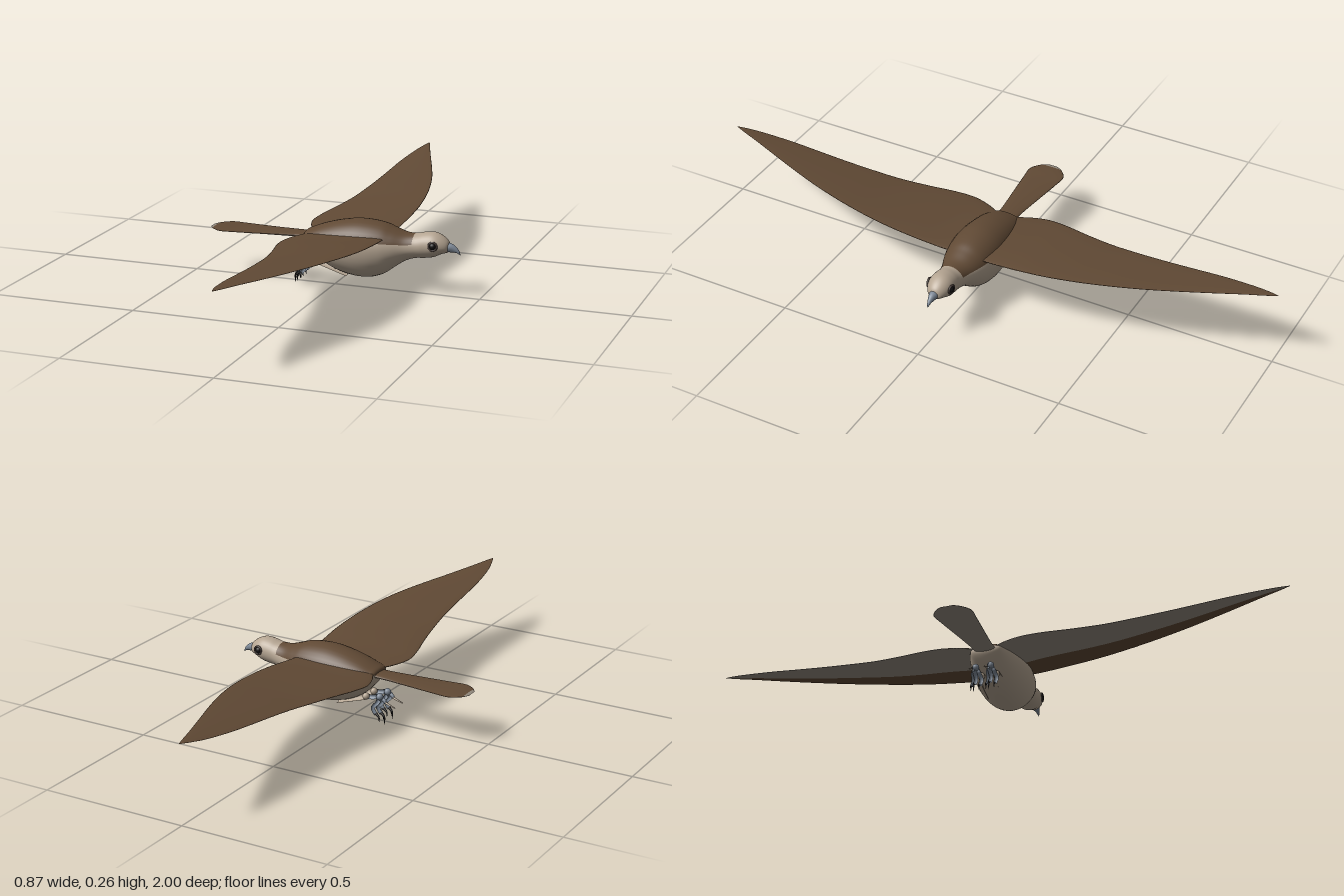
import * as THREE from 'three';

const V = (x, y, z) => new THREE.Vector3(x, y, z);
const mat = (name, color, side = THREE.FrontSide) => {
  const m = new THREE.MeshStandardMaterial({ color, side });
  m.name = name;
  return m;
};

// Closed tube-like surface: point(t, angle) swept along t, one material index per face
function skin(nu, nv, point, pick = () => 0, flip = false) {
  const pos = [], lists = [];
  for (let i = 0; i <= nu; i++)
    for (let j = 0; j < nv; j++) pos.push(...point(i / nu, (j / nv) * Math.PI * 2));
  for (let i = 0; i < nu; i++)
    for (let j = 0; j < nv; j++) {
      const k = (j + 1) % nv;
      const a = i * nv + j, b = a + nv, c = (i + 1) * nv + k, d = i * nv + k;
      const m = pick((i + 0.5) / nu, ((j + 0.5) / nv) * Math.PI * 2);
      (lists[m] ||= []).push(...(flip ? [a, c, b, a, d, c] : [a, b, c, a, c, d]));
    }
  const g = new THREE.BufferGeometry();
  g.setAttribute('position', new THREE.Float32BufferAttribute(pos, 3));
  let start = 0;
  lists.forEach((l, m) => { g.addGroup(start, l.length, m); start += l.length; });
  g.setIndex(lists.flat());
  g.computeVertexNormals();
  return g;
}

// Smooth interpolation through rows of numbers
function table(rows) {
  return t => {
    const f = Math.min(t, 0.99999) * (rows.length - 1), i = Math.floor(f), u = f - i;
    const at = k => rows[Math.max(0, Math.min(rows.length - 1, k))];
    return rows[0].map((_, c) => {
      const p0 = at(i - 1)[c], p1 = at(i)[c], p2 = at(i + 1)[c], p3 = at(i + 2)[c];
      return p1 + 0.5 * u * (p2 - p0 + u * (2 * p0 - 5 * p1 + 4 * p2 - p3 + u * (3 * (p1 - p2) + p3 - p0)));
    });
  };
}

// Round section with separate top and bottom heights: rows are x, top, middle, bottom, half width
const bodySection = f => (t, a) => {
  const [x, top, mid, bot, w] = f(t), s = Math.sin(a);
  return [x, mid + s * (s > 0 ? top - mid : mid - bot), Math.cos(a) * w];
};

// Tapered tube along a curve
function limb(points, r0, r1, n = 10) {
  const curve = new THREE.CatmullRomCurve3(points);
  const frames = curve.computeFrenetFrames(n);
  return skin(n, 10, (t, a) => {
    const i = Math.round(t * n), r = r0 + (r1 - r0) * t;
    return curve.getPointAt(t)
      .addScaledVector(frames.normals[i], Math.cos(a) * r)
      .addScaledVector(frames.binormals[i], Math.sin(a) * r).toArray();
  });
}

export function createModel() {
  const bird = new THREE.Group();
  bird.name = 'bird';
  const brown = mat('brownFeathers', 0x614a35);
  const cream = mat('creamFeathers', 0xb5a592);
  const pale = mat('paleUnderside', 0x958c80);
  const horn = mat('greyHorn', 0x7f8a98);
  const black = mat('black', 0x141212);
  const ring = mat('eyeRing', 0x453a36);
  const add = (name, geo, m, parent = bird) => {
    const mesh = new THREE.Mesh(geo, m);
    mesh.name = name;
    parent.add(mesh);
    return mesh;
  };

  // Body and head, with a brown back
  const body = table([
    [-0.1, 0.168, 0.166, 0.164, 0.002], [-0.095, 0.182, 0.166, 0.148, 0.045],
    [-0.075, 0.192, 0.162, 0.12, 0.06], [-0.035, 0.208, 0.157, 0.082, 0.074],
    [0.02, 0.224, 0.15, 0.055, 0.085], [0.08, 0.234, 0.146, 0.042, 0.09],
    [0.13, 0.234, 0.146, 0.043, 0.088], [0.175, 0.228, 0.148, 0.058, 0.08],
    [0.21, 0.216, 0.152, 0.083, 0.069], [0.25, 0.204, 0.156, 0.11, 0.053],
    [0.285, 0.204, 0.16, 0.122, 0.045], [0.315, 0.211, 0.167, 0.125, 0.044],
    [0.345, 0.213, 0.17, 0.131, 0.043], [0.37, 0.204, 0.17, 0.143, 0.036],
    [0.39, 0.188, 0.167, 0.15, 0.022], [0.398, 0.17, 0.166, 0.162, 0.002],
  ]);
  add('body', skin(90, 36, bodySection(body),
    (t, a) => (body(t)[0] < 0.28 && a > 0.35 && a < Math.PI - 0.35 ? 0 : 1)), [brown, cream]);

  // Hooked beak
  add('beak', skin(20, 16, bodySection(table([
    [0.38, 0.182, 0.167, 0.152, 0.016], [0.395, 0.181, 0.167, 0.151, 0.015],
    [0.408, 0.177, 0.165, 0.151, 0.011], [0.42, 0.168, 0.159, 0.15, 0.007],
    [0.428, 0.158, 0.152, 0.146, 0.004], [0.433, 0.145, 0.144, 0.143, 0.0005],
  ]))), horn);

  // Tail fan with pale underside and tip
  const tail = table([
    [-0.436, 0.163, 0.001, 0.018], [-0.42, 0.163, 0.003, 0.042], [-0.385, 0.163, 0.004, 0.064],
    [-0.33, 0.163, 0.004, 0.06], [-0.22, 0.164, 0.006, 0.047], [-0.13, 0.165, 0.008, 0.037],
    [-0.06, 0.166, 0.009, 0.034],
  ]);
  add('tail', skin(36, 24, (t, a) => {
    const [x, y, h, w] = tail(t);
    return [x, y + Math.sin(a) * h, Math.cos(a) * w];
  }, (t, a) => (a < Math.PI && tail(t)[0] > -0.424 ? 0 : 1)), [brown, pale]);

  // Wings: rows are span, leading x, trailing x, leading y, trailing y, half thickness
  const wing = table([
    [0.03, 0.185, -0.09, 0.186, 0.174, 0.009], [0.08, 0.19, -0.115, 0.189, 0.174, 0.009],
    [0.14, 0.194, -0.13, 0.195, 0.175, 0.008], [0.21, 0.197, -0.122, 0.203, 0.18, 0.007],
    [0.3, 0.195, -0.1, 0.212, 0.187, 0.006], [0.4, 0.185, -0.08, 0.222, 0.195, 0.005],
    [0.5, 0.167, -0.066, 0.231, 0.206, 0.004], [0.6, 0.141, -0.057, 0.238, 0.216, 0.0035],
    [0.7, 0.108, -0.051, 0.244, 0.226, 0.003], [0.8, 0.072, -0.044, 0.25, 0.237, 0.0025],
    [0.9, 0.036, -0.03, 0.257, 0.249, 0.002], [0.96, 0.016, -0.015, 0.261, 0.258, 0.0015],
    [1, 0.001, -0.001, 0.264, 0.264, 0.0005],
  ]);

  for (const s of [1, -1]) {
    const side = s > 0 ? 'right' : 'left';
    add(side + 'Wing', skin(60, 32, (t, a) => {
      const [z, lx, tx, ly, ty, h] = wing(t), c = (1 + Math.cos(a)) / 2;
      return [tx + (lx - tx) * c, ty + (ly - ty) * c + Math.sin(a) * h, s * z];
    }, (t, a) => (a < Math.PI || Math.cos(a) > 0.1 ? 0 : 1), s > 0), [brown, pale]);

    // Eye: dark ring around a black ball
    const eye = new THREE.Group();
    eye.name = side + 'Eye';
    eye.position.set(0.35, 0.175, s * 0.036);
    add('eyeball', new THREE.SphereGeometry(0.0125, 20, 14), black, eye);
    add('eyeRim', new THREE.TorusGeometry(0.0135, 0.0035, 8, 24), ring, eye).position.z = s * 0.005;
    eye.rotation.y = s * 0.12;
    bird.add(eye);

    // Feathered thigh trailing back, shank and foot
    const leg = new THREE.Group();
    leg.name = side + 'Leg';
    leg.position.z = s * 0.026;
    bird.add(leg);
    add('thigh', limb([V(0.055, 0.06, 0), V(0, 0.073, 0), V(-0.06, 0.088, 0)], 0.019, 0.012), cream, leg);
    add('thighEnd', new THREE.SphereGeometry(0.012, 12, 8), cream, leg).position.set(-0.06, 0.088, 0);
    add('shank', limb([V(-0.055, 0.087, 0), V(-0.085, 0.09, 0), V(-0.112, 0.098, 0)], 0.008, 0.008), horn, leg);
    add('ankle', new THREE.SphereGeometry(0.012, 12, 8), horn, leg).position.set(-0.112, 0.096, 0);
    // Three curled front toes with claws
    for (const k of [-1, 0, 1]) {
      const z = k * 0.014, dx = k ? 0.012 : 0;
      add('toe', limb([V(-0.112, 0.096, 0), V(-0.122 + dx, 0.08, z * 0.6), V(-0.106 + dx, 0.058, z),
        V(-0.118 + dx, 0.036, z)], 0.008, 0.006), horn, leg);
      add('claw', limb([V(-0.116 + dx, 0.042, z), V(-0.129 + dx, 0.028, z), V(-0.13 + dx, k ? 0.012 : 0.002, z)],
        0.006, 0.0005), black, leg);
    }
    // Back toe with its pale straight claw
    add('backToe', limb([V(-0.112, 0.096, 0), V(-0.125, 0.09, 0), V(-0.136, 0.078, 0)], 0.008, 0.005), horn, leg);
    add('backClaw', limb([V(-0.132, 0.08, 0), V(-0.15, 0.073, 0), V(-0.17, 0.067, 0)], 0.004, 0.002), cream, leg);
  }
  return bird;
}
